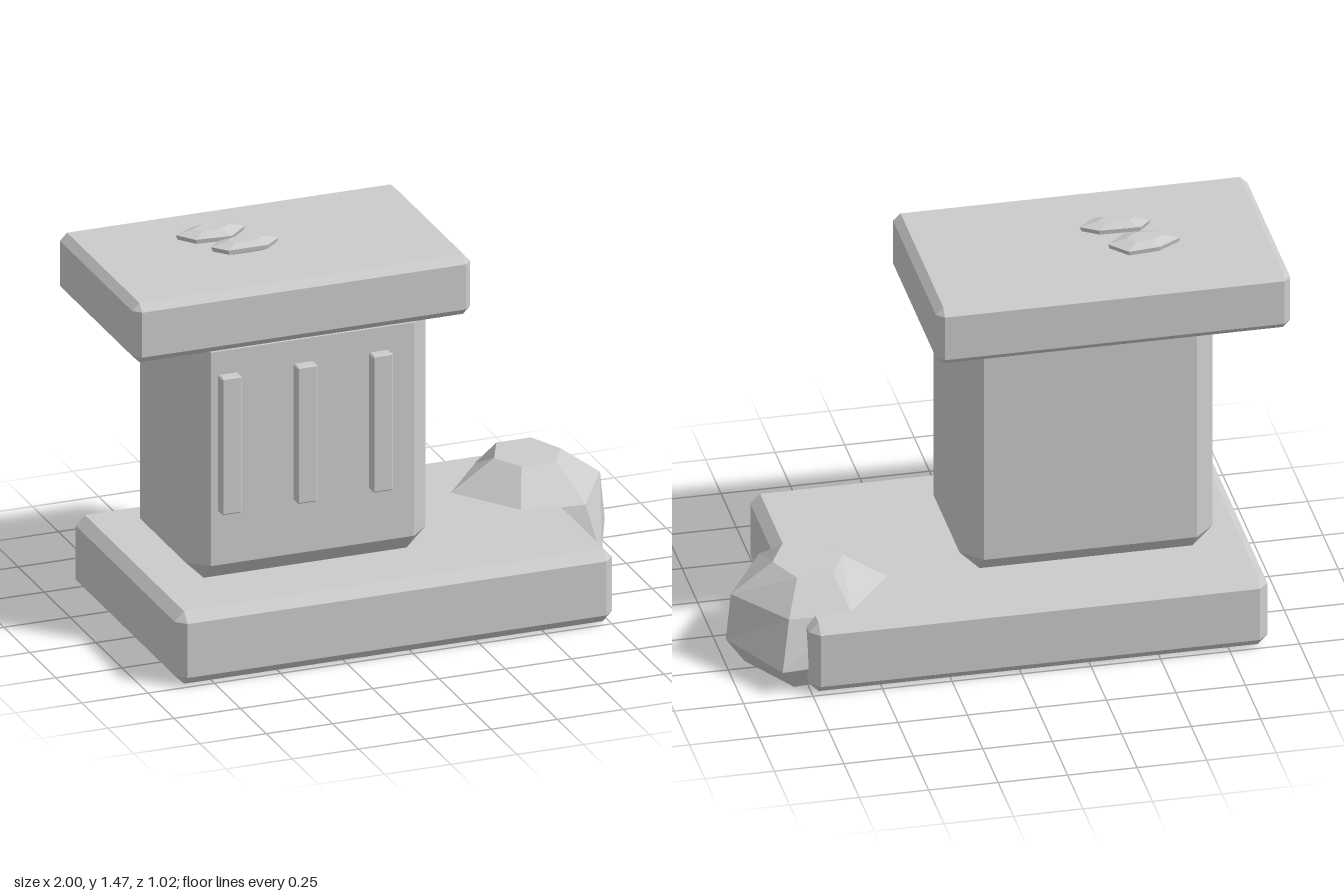
import * as THREE from 'three';
import { ConvexGeometry } from 'three/addons/geometries/ConvexGeometry.js';

const material = new THREE.MeshStandardMaterial({ color: 0xcccccc, flatShading: true });

function addMesh(group, name, geometry) {
  const mesh = new THREE.Mesh(geometry, material);
  mesh.name = name;
  group.add(mesh);
  return mesh;
}

// Box between two corners with every edge cut at 45 degrees.
function chamferBox([x0, y0, z0], [x1, y1, z1], c) {
  const half = [(x1 - x0) / 2, (y1 - y0) / 2, (z1 - z0) / 2];
  const points = [];
  for (const sx of [-1, 1]) for (const sy of [-1, 1]) for (const sz of [-1, 1]) {
    for (let axis = 0; axis < 3; axis++) {
      const [hx, hy, hz] = half.map((h, i) => (i === axis ? h : h - c));
      points.push(new THREE.Vector3(sx * hx, sy * hy, sz * hz));
    }
  }
  return new ConvexGeometry(points).translate((x0 + x1) / 2, (y0 + y1) / 2, (z0 + z1) / 2);
}

// Faceted solid from stacked rings, lowest first: { y, points: [[x, z], ...] }.
function ringSolid(rings) {
  const n = rings[0].points.length;
  const position = [];
  const index = [];
  for (const { y, points } of rings) for (const [x, z] of points) position.push(x, y, z);
  for (let r = 0; r < rings.length - 1; r++) {
    for (let i = 0; i < n; i++) {
      const j = (i + 1) % n;
      const a = r * n + i, b = r * n + j, c = a + n, d = b + n;
      index.push(a, b, d, a, d, c);
    }
  }
  const top = (rings.length - 1) * n;
  for (let i = 1; i < n - 1; i++) {
    index.push(0, i + 1, i, top, top + i, top + i + 1);
  }
  const geometry = new THREE.BufferGeometry();
  geometry.setAttribute('position', new THREE.Float32BufferAttribute(position, 3));
  geometry.setIndex(index);
  const flat = geometry.toNonIndexed();
  flat.computeVertexNormals();
  return flat;
}

// Flat pebble: one outline scaled about its middle at several heights.
function pebble(outline) {
  const cx = outline.reduce((s, p) => s + p[0], 0) / outline.length;
  const cz = outline.reduce((s, p) => s + p[1], 0) / outline.length;
  const levels = [[1.437, 0.6], [1.446, 0.95], [1.463, 1], [1.479, 0.5]];
  return ringSolid(levels.map(([y, s]) => ({
    y,
    points: outline.map(([x, z]) => [cx + (x - cx) * s, cz + (z - cz) * s]),
  })));
}

export function createModel() {
  const model = new THREE.Group();
  model.name = 'stonePedestal';

  // Stacked slabs and column
  addMesh(model, 'baseSlab', chamferBox([-0.89, 0.01, -0.512], [0.76, 0.285, 0.512], 0.035));
  addMesh(model, 'column', chamferBox([-0.75, 0.285, -0.286], [0.16, 1.24, 0.286], 0.072));
  addMesh(model, 'topSlab', chamferBox([-1, 1.2, -0.375], [0.275, 1.425, 0.375], 0.027));

  // Raised strips on the column front
  const strips = new THREE.Group();
  strips.name = 'frontStrips';
  for (const x of [-0.615, -0.33, -0.045]) {
    addMesh(strips, 'strip', chamferBox([x - 0.038, 0.56, 0.284], [x + 0.038, 1.08, 0.328], 0.005));
  }
  model.add(strips);

  // Boulder sunk into the base corner
  addMesh(model, 'boulder', ringSolid([
    { y: 0.005, points: [[0.5, -0.2], [0.61, 0.03], [0.81, 0.04], [0.93, -0.2], [0.8, -0.42], [0.61, -0.4]] },
    { y: 0.1, points: [[0.42, -0.2], [0.56, 0.09], [0.865, 0.108], [0.998, -0.2], [0.855, -0.48], [0.56, -0.46]] },
    { y: 0.28, points: [[0.41, -0.2], [0.585, 0.045], [0.82, 0.065], [0.98, -0.2], [0.82, -0.425], [0.595, -0.43]] },
    { y: 0.392, points: [[0.58, -0.2], [0.64, -0.09], [0.77, -0.085], [0.83, -0.2], [0.77, -0.33], [0.64, -0.33]] },
  ]));

  // Two pebbles over the top slab
  addMesh(model, 'backPebble', pebble([
    [-0.66, -0.1], [-0.61, -0.035], [-0.48, -0.022], [-0.4, -0.095], [-0.46, -0.163], [-0.575, -0.152],
  ]));
  addMesh(model, 'frontPebble', pebble([
    [-0.585, 0.048], [-0.54, 0.1], [-0.39, 0.1], [-0.33, 0.048], [-0.39, 0.008], [-0.54, 0.002],
  ]));

  return model;
}
